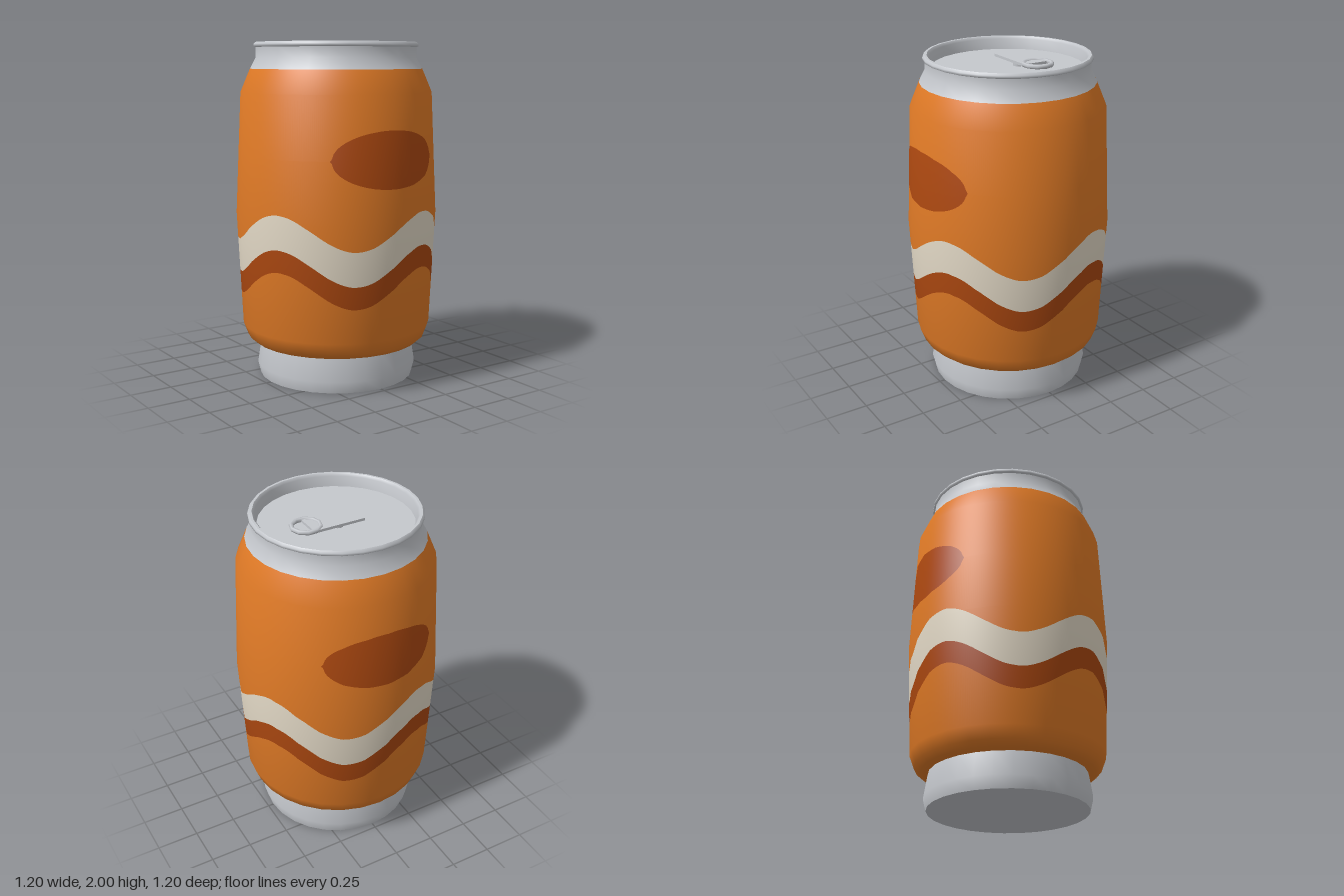
import * as THREE from 'three';

const SIDES = 28;            // facets around the can
const COLS = SIDES * 12;     // columns used to trace the painted curves
const STEP = (Math.PI * 2) / SIDES;

const flat = (name, color) => {
  const m = new THREE.MeshStandardMaterial({ color });
  m.name = name;
  return m;
};

// Painted body profile as [radius, height], bottom to top
const BODY = [
  [0.46, 0.21], [0.505, 0.218], [0.54, 0.248], [0.567, 0.32],
  [0.6, 1.0], [0.567, 1.71], [0.51, 1.845],
];

// Smooth profile normals as [outward, up]
const NORMALS = BODY.map((_, i) => {
  const a = BODY[Math.max(i - 1, 0)], b = BODY[i], c = BODY[Math.min(i + 1, BODY.length - 1)];
  const n = new THREE.Vector2();
  for (const [p, q] of [[a, b], [b, c]]) {
    n.add(new THREE.Vector2(q[1] - p[1], p[0] - q[0]).normalize());
  }
  return n.normalize();
});

// Radius and normal of the body at a height
function profileAt(y) {
  let k = 0;
  while (k < BODY.length - 2 && y > BODY[k + 1][1]) k++;
  const t = (y - BODY[k][1]) / (BODY[k + 1][1] - BODY[k][1]);
  return {
    r: THREE.MathUtils.lerp(BODY[k][0], BODY[k + 1][0], t),
    n: NORMALS[k].clone().lerp(NORMALS[k + 1], t).normalize(),
  };
}

// Strip of the faceted body between two height curves
function band(name, material, lower, upper, from = 0, to = COLS) {
  const pos = [], nor = [], idx = [];
  const rows = BODY.length + 2;
  for (let i = from; i <= to; i++) {
    const a = (i / COLS) * Math.PI * 2;
    const local = (((i % 12) + 12) % 12) / 12 * STEP - STEP / 2;
    const chord = Math.cos(STEP / 2) / Math.cos(local);
    const lo = lower(a), hi = upper(a);
    const ys = [lo, ...BODY.map((p) => THREE.MathUtils.clamp(p[1], lo, hi)), hi];
    for (const y of ys) {
      const { r, n } = profileAt(y);
      pos.push(Math.sin(a) * r * chord, y, Math.cos(a) * r * chord);
      nor.push(Math.sin(a) * n.x, n.y, Math.cos(a) * n.x);
    }
  }
  for (let i = 0; i < to - from; i++) {
    for (let j = 0; j < rows - 1; j++) {
      const p = i * rows + j, q = p + rows;
      idx.push(p, q, p + 1, q, q + 1, p + 1);
    }
  }
  const g = new THREE.BufferGeometry();
  g.setAttribute('position', new THREE.Float32BufferAttribute(pos, 3));
  g.setAttribute('normal', new THREE.Float32BufferAttribute(nor, 3));
  g.setIndex(idx);
  const mesh = new THREE.Mesh(g, material);
  mesh.name = name;
  return mesh;
}

export function createModel() {
  const can = new THREE.Group();
  can.name = 'drinkCan';
  const orange = flat('orange paint', 0xe07a26);
  const rust = flat('rust paint', 0xac4810);
  const cream = flat('cream paint', 0xe4dac7);
  const metal = flat('bare metal', 0xc5c8cd);

  const add = (name, geometry, material, parent = can) => {
    const mesh = new THREE.Mesh(geometry, material);
    mesh.name = name;
    parent.add(mesh);
    return mesh;
  };
  // Repeated points in a profile keep that edge sharp
  const lathe = (points) =>
    new THREE.LatheGeometry(points.map(([r, y]) => new THREE.Vector2(r, y)), SIDES);

  // Painted curves: four waves round the can, one oval on the front and one on the back
  const wave = (mid) => (a) => mid + 0.097 * Math.sin(4 * a);
  const HALF = THREE.MathUtils.degToRad(35.5);
  const SHIFT = THREE.MathUtils.degToRad(-1);
  const ovalHeight = (a) => {
    const d = a - SHIFT;
    const t = (d - Math.PI * Math.round(d / Math.PI)) / HALF;
    return 0.163 * Math.sqrt(Math.max(0, 1 - t * t));
  };
  const ovalTop = (a) => 1.35 + ovalHeight(a);
  const ovalBottom = (a) => 1.35 - ovalHeight(a);

  // Painted body
  can.add(
    band('lowerBody', orange, () => 0.21, wave(0.615)),
    band('rustWave', rust, wave(0.615), wave(0.745)),
    band('creamWave', cream, wave(0.745), wave(0.944)),
    band('middleBody', orange, wave(0.944), ovalBottom),
    band('upperBody', orange, ovalTop, () => 1.845),
  );
  const reach = Math.ceil(COLS * 0.105);
  ['frontOval', 'backOval'].forEach((name, k) => {
    const mid = (k * COLS) / 2;
    can.add(band(name, rust, ovalBottom, ovalTop, mid - reach, mid + reach));
  });

  // Base
  add('base', lathe([
    [0, 0], [0.465, 0], [0.465, 0], [0.482, 0.07], [0.46, 0.21],
  ]), metal);

  // Neck, rolled rim and recessed lid
  add('neckAndLid', lathe([
    [0.51, 1.845], [0.475, 1.91], [0.475, 1.97], [0.475, 1.97],
    [0.486, 1.975], [0.486, 1.988], [0.476, 2], [0.476, 2],
    [0.462, 2], [0.462, 2], [0.45, 1.985], [0.44, 1.925], [0.44, 1.925], [0, 1.925],
  ]), metal);

  // Pull tab
  const tab = new THREE.Group();
  tab.name = 'pullTab';
  tab.position.set(0, 1.972, -0.056);
  can.add(tab);
  add('tabPlate', new THREE.BoxGeometry(0.31, 0.015, 0.166), metal, tab).position.x = 0.055;
  const ring = add('tabRing', new THREE.TorusGeometry(0.081, 0.0135, 6, 10), metal, tab);
  ring.rotation.x = Math.PI / 2;
  ring.position.set(0.217, 0.003, 0);
  add('tabRivet', new THREE.CylinderGeometry(0.03, 0.03, 0.046, 10), metal, tab).position.set(0.02, -0.024, 0);

  return can;
}
